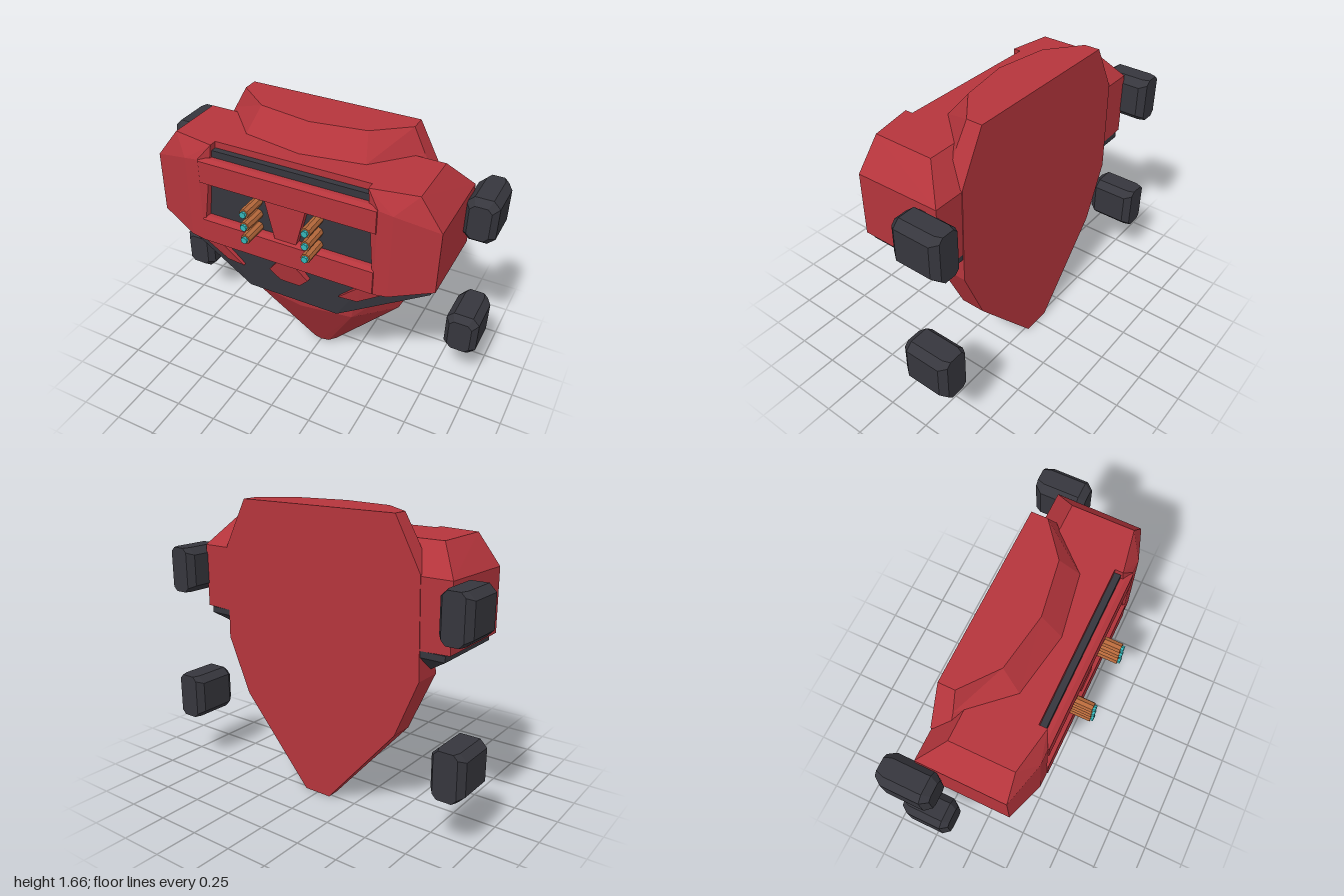
import * as THREE from 'three';
import { ConvexGeometry } from 'three/addons/geometries/ConvexGeometry.js';

const material = (name, color) => {
  const m = new THREE.MeshStandardMaterial({ color });
  m.name = name;
  return m;
};

// Hull of a few corner points gives each chamfered armour block
const hull = (pts) => new ConvexGeometry(pts.map((p) => new THREE.Vector3(...p)));
const bothSides = (pts) => pts.flatMap(([x, y, z]) => [[x, y, z], [-x, y, z]]);

// Closed loft through rings of equal length, listed from bottom to top
function loft(rings) {
  const n = rings[0].length;
  const index = [];
  for (let r = 0; r < rings.length - 1; r++) {
    for (let j = 0; j < n; j++) {
      const a = r * n + j, b = r * n + (j + 1) % n;
      index.push(a, b, b + n, a, b + n, a + n);
    }
  }
  const top = (rings.length - 1) * n;
  for (let j = 1; j < n - 1; j++) index.push(top, top + j, top + j + 1, 0, j + 1, j);
  const indexed = new THREE.BufferGeometry();
  indexed.setAttribute('position', new THREE.Float32BufferAttribute(rings.flat(2), 3));
  indexed.setIndex(index);
  const g = indexed.toNonIndexed();
  g.computeVertexNormals();
  return g;
}

export function createModel() {
  const group = new THREE.Group();
  group.name = 'armouredTorso';
  const red = material('red armour', 0xb5353c);
  const dark = material('charcoal', 0x36363d);
  const copper = material('copper', 0xb5683a);
  const teal = material('teal', 0x35b5b8);

  const add = (name, geometry, mat, x = 0, y = 0, z = 0) => {
    const mesh = new THREE.Mesh(geometry, mat);
    mesh.name = name;
    mesh.position.set(x, y, z);
    group.add(mesh);
    return mesh;
  };
  const box = (name, mat, x0, x1, y0, y1, z0, z1) =>
    add(name, new THREE.BoxGeometry(x1 - x0, y1 - y0, z1 - z0), mat,
      (x0 + x1) / 2, (y0 + y1) / 2, (z0 + z1) / 2);

  // Shield-shaped core with a flat back: y, side x, side z, cheek x, cheek z, nose z
  const levels = [
    [0, 0.085, -0.2, 0.05, -0.16, -0.15],
    [0.5, 0.52, -0.13, 0.31, 0.08, 0.125],
    [0.83, 0.66, -0.1, 0.37, 0.13, 0.19],
    [1.38, 0.65, -0.17, 0.4, 0.15, 0.2],
    [1.53, 0.57, -0.17, 0.35, 0.07, 0.13],
    [1.66, 0.5, -0.18, 0.31, -0.03, 0.02],
  ];
  add('coreShield', loft(levels.map(([y, sx, sz, cx, cz, nz]) => [
    [-sx, y, -0.27], [-sx, y, sz], [-cx, y, cz], [0, y, nz],
    [cx, y, cz], [sx, y, sz], [sx, y, -0.27],
  ])), red);

  // Chest centre and recessed panel
  box('chestTop', red, -0.47, 0.47, 0.98, 1.528, -0.1, 0.22);
  box('recessPanel', dark, -0.52, 0.52, 0.92, 1.49, 0.1, 0.255);

  // Dark jaw wrapping under the chest
  add('jaw', hull(bothSides([
    [0.8, 0.995, -0.264], [0.8, 0.96, -0.264], [0.8, 0.96, 0.21], [0.8, 0.995, 0.21],
    [0.5, 0.995, 0.25], [0.28, 0.625, 0.22], [0.28, 0.625, 0.14],
  ])), dark);
  add('chinPlate', hull(bothSides([
    [0.06, 0.91, 0.285], [0.12, 0.83, 0.265], [0.06, 0.765, 0.25],
    [0.06, 0.91, 0.2], [0.12, 0.83, 0.2], [0.06, 0.765, 0.2],
  ])), red);

  // Cross bars with bevelled edges
  for (const [name, y0, y1] of [['upperBar', 1.29, 1.45], ['lowerBar', 0.91, 1.08]]) {
    add(name, hull(bothSides([
      [0.525, y0, 0.2], [0.525, y1, 0.2], [0.525, y0, 0.28], [0.525, y1, 0.28],
      [0.515, y0 + 0.015, 0.305], [0.515, y1 - 0.015, 0.305],
    ])), red);
  }
  add('centreWedge', hull(bothSides([
    [0.12, 1.295, 0.29], [0.12, 1.295, 0.24], [0.065, 1.075, 0.29], [0.065, 1.075, 0.24],
  ])), red);

  const octagon = (w, h, c, z) => [
    [w - c, h, z], [w, h - c, z], [w, c - h, z], [w - c, -h, z],
  ];
  for (const s of [1, -1]) {
    const side = s > 0 ? 'left' : 'right';
    const flip = (pts) => pts.map(([x, y, z]) => [s * x, y, z]);

    // Shoulder block
    add(side + 'Shoulder', hull(flip([
      [0.828, 1.0, 0.23], [0.828, 1.36, 0.23], [0.828, 1.0, -0.266], [0.828, 1.37, -0.266],
      [0.7, 1.528, 0.22], [0.7, 1.528, -0.13], [0.45, 1.528, -0.13], [0.45, 1.528, 0.265],
      [0.6, 1.43, 0.3], [0.52, 1.44, 0.3], [0.52, 0.92, 0.3], [0.6, 0.935, 0.3],
      [0.5, 0.99, -0.266], [0.5, 1.37, -0.266], [0.5, 0.93, 0.2],
    ])), red);

    // Red fang on the jaw
    const fang = [[0.62, 0.945, 0.265], [0.44, 0.92, 0.275], [0.3, 0.78, 0.25], [0.41, 0.785, 0.245]];
    add(side + 'Fang', hull(flip([...fang, ...fang.map(([x, y]) => [x, y, 0.2])])), red);

    // Barrels with glowing tips
    for (const y of [1.1, 1.18, 1.26]) {
      const barrel = new THREE.CylinderGeometry(0.028, 0.028, 0.16, 8).toNonIndexed();
      barrel.rotateX(Math.PI / 2);
      barrel.computeVertexNormals();
      add(side + 'Barrel', barrel, copper, s * 0.18, y, 0.32);
      const tip = new THREE.CylinderGeometry(0.019, 0.019, 0.04, 8).toNonIndexed();
      tip.rotateX(Math.PI / 2);
      tip.computeVertexNormals();
      add(side + 'BarrelTip', tip, teal, s * 0.18, y, 0.395);
    }

    // Chamfered side pods
    for (const [name, x, y, w] of [['UpperPod', 0.91, 1.23, 0.09], ['LowerPod', 0.903, 0.435, 0.097]]) {
      add(side + name, hull(bothSides([
        ...octagon(w - 0.03, 0.132, 0.025, -0.41), ...octagon(w, 0.132, 0.04, -0.37),
        ...octagon(w, 0.132, 0.04, -0.16), ...octagon(w - 0.03, 0.1, 0.025, -0.12),
      ])), dark, s * x, y, 0);
    }
  }
  return group;
}
